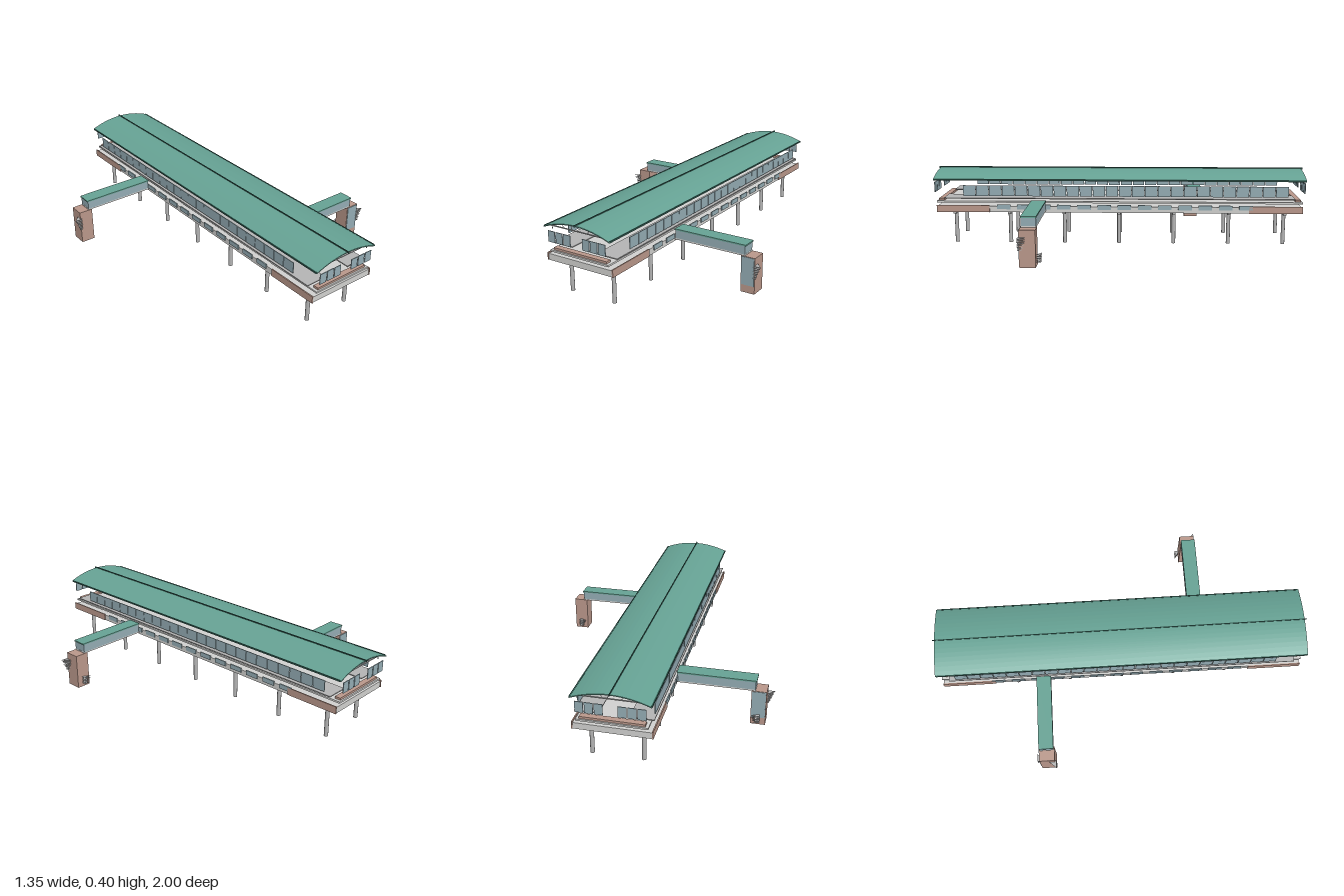
import * as THREE from 'three';

const mat = (name, color) => {
  const m = new THREE.MeshStandardMaterial({ color });
  m.name = name;
  return m;
};

export function createModel() {
  const green = mat('roofGreen', 0x66a294);
  const darkGreen = mat('trimGreen', 0x2f5a50);
  const brown = mat('brickBrown', 0xb9978a);
  const glass = mat('paleGlass', 0x93abb3);
  const concrete = mat('concrete', 0xd0d0ce);
  const grey = mat('steelGrey', 0xb4b4b4);

  const root = new THREE.Group();
  root.name = 'elevatedStation';
  const group = (name, parent = root) => {
    const g = new THREE.Group();
    g.name = name;
    parent.add(g);
    return g;
  };
  const add = (parent, name, geo, material) => {
    const m = new THREE.Mesh(geo, material);
    m.name = name;
    parent.add(m);
    return m;
  };
  // Box given by its lower and upper limits on each axis
  const box = (parent, name, material, x0, x1, y0, y1, z0, z1) => {
    const m = add(parent, name, new THREE.BoxGeometry(x1 - x0, y1 - y0, z1 - z0), material);
    m.position.set((x0 + x1) / 2, (y0 + y1) / 2, (z0 + z1) / 2);
    return m;
  };

  // Arched roof: a thin arc band extruded along z
  const half = 0.19, rise = 0.038, base = 0.354, steps = 16;
  const archY = (x) => base + rise * (1 - (x / half) ** 2);
  const arch = new THREE.Shape();
  for (let i = 0; i <= steps; i++) {
    const x = -half + (2 * half * i) / steps;
    if (i === 0) arch.moveTo(x, archY(x) - 0.005);
    else arch.lineTo(x, archY(x) - 0.005);
  }
  for (let i = steps; i >= 0; i--) {
    const x = -half + (2 * half * i) / steps;
    arch.lineTo(x, archY(x));
  }
  const roof = group('roof');
  const shell = add(roof, 'archedRoof',
    new THREE.ExtrudeGeometry(arch, { depth: 1.98, bevelEnabled: false }), green);
  shell.position.z = -0.99;
  box(roof, 'ridgeFin', darkGreen, -0.002, 0.002, 0.388, 0.397, -1, 1);
  for (const s of [-1, 1]) {
    const x = s * 0.189;
    box(roof, 'eaveTrim', darkGreen, x - 0.003, x + 0.003, 0.349, 0.357, -0.985, 0.985);
  }

  // Roof frames: tie beam, hangers and slanted struts
  const frames = group('roofFrames');
  for (let i = 0; i < 7; i++) {
    const z = -0.96 + i * 0.32;
    box(frames, 'tieBeam', grey, -0.17, 0.17, 0.35, 0.354, z - 0.003, z + 0.003);
    for (const s of [-1, 1]) {
      for (const x of [0.05, 0.1]) {
        const strut = box(frames, 'strut', grey, s * x - 0.001, s * x + 0.001,
          0.354, archY(x) - 0.004, z - 0.001, z + 0.001);
        strut.rotation.z = -s * 0.2;
      }
      box(frames, 'hanger', grey, s * 0.165 - 0.0015, s * 0.165 + 0.0015, 0.335, 0.36, z - 0.0015, z + 0.0015);
    }
  }

  // Window screens along both sides and across both ends
  const windows = group('windows');
  for (const s of [-1, 1]) {
    for (let i = 0; i < 25; i++) {
      const z = -0.898 + i * 0.0693;
      box(windows, 'sideWindow', glass, s * 0.182 - 0.002, s * 0.182 + 0.002, 0.265, 0.322, z, z + 0.066);
    }
    for (const side of [-1, 1]) {
      for (let i = 0; i < 3; i++) {
        const x = side * (0.055 + i * 0.0455);
        box(windows, 'endWindow', glass, x - 0.02, x + 0.02, 0.281, 0.336, s * 0.988 - 0.002, s * 0.988 + 0.002);
      }
    }
  }

  // Deck with floor, platforms and edge bands
  const deck = group('deck');
  box(deck, 'deckSlab', concrete, -0.187, 0.187, 0.178, 0.21, -0.972, 0.972);
  box(deck, 'floorSlab', concrete, -0.17, 0.17, 0.226, 0.235, -0.978, 0.978);
  for (const s of [-1, 1]) {
    const x = s * 0.13, px = s * 0.189;
    box(deck, 'platform', grey, x - 0.058, x + 0.058, 0.25, 0.255, -0.935, 0.935);
    box(deck, 'endBand', brown, -0.155, 0.155, 0.235, 0.246, s * 0.955 - 0.015, s * 0.955 + 0.015);
    for (const e of [-1, 1]) {
      box(deck, 'cornerPanel', brown, px - 0.003, px + 0.003, 0.178, 0.216, e * 0.833 - 0.142, e * 0.833 + 0.142);
    }
    for (let i = 0; i < 13; i++) {
      const z = 0.615 - i * 0.1075;
      box(deck, 'deckWindow', glass, px - 0.003, px + 0.003, 0.195, 0.22, z - 0.036, z + 0.036);
    }
  }

  // Columns in pairs under crossbeams
  const supports = group('supports');
  const columnGeo = new THREE.CylinderGeometry(0.0105, 0.0105, 0.168, 10);
  for (let i = -3; i <= 3; i++) {
    const z = i * 0.295;
    box(supports, 'crossbeam', grey, -0.165, 0.165, 0.164, 0.179, z - 0.008, z + 0.008);
    for (const s of [-1, 1]) {
      add(supports, 'column', columnGeo, grey).position.set(s * 0.126, 0.084, z);
    }
  }

  // Wedge-shaped stair tread lying flat, given by three x,z corners
  const tread = (parent, pts, y) => {
    const shape = new THREE.Shape(pts.map(([x, z]) => new THREE.Vector2(x, -z)));
    const m = add(parent, 'stairTread',
      new THREE.ExtrudeGeometry(shape, { depth: 0.002, bevelEnabled: false }), grey);
    m.rotation.x = -Math.PI / 2;
    m.position.y = y;
  };

  // Footbridges and stair towers, one on each side
  for (const s of [-1, 1]) {
    const zc = s * 0.427;
    const access = group(s > 0 ? 'leftAccess' : 'rightAccess');
    access.position.z = zc;
    const xbox = (name, m, a, b, y0, y1, z0, z1) =>
      box(access, name, m, Math.min(s * a, s * b), Math.max(s * a, s * b), y0, y1, z0, z1);
    xbox('bridgeFloor', concrete, 0.187, 0.583, 0.186, 0.194, -0.037, 0.037);
    for (const e of [-1, 1]) {
      xbox('bridgeGlass', glass, 0.19, 0.582, 0.193, 0.236, e * 0.035 - 0.002, e * 0.035 + 0.002);
    }
    xbox('bridgeEndGlass', glass, 0.579, 0.582, 0.193, 0.236, -0.034, 0.034);
    xbox('bridgeRoof', green, 0.187, 0.587, 0.236, 0.243, -0.039, 0.039);
    xbox('tower', brown, 0.564, 0.639, 0, 0.187, -0.04, 0.04);
    xbox('towerGlass', glass, 0.567, 0.636, 0.04, 0.185, s * 0.041 - 0.002, s * 0.041 + 0.002);
    // Fans of treads at two opposite corners of the tower
    for (let i = 0; i < 8; i++) {
      const w = 0.648 + i * 0.0037;
      tread(access, [[s * 0.625, -0.005], [s * 0.632, 0.047], [s * w, 0.047]], 0.085 + i * 0.009);
    }
    for (let i = 0; i < 5; i++) {
      tread(access, [[s * (0.58 - i * 0.003), -0.062], [s * 0.612, -0.062], [s * 0.61, -0.038]], 0.02 + i * 0.009);
    }
  }
  return root;
}
